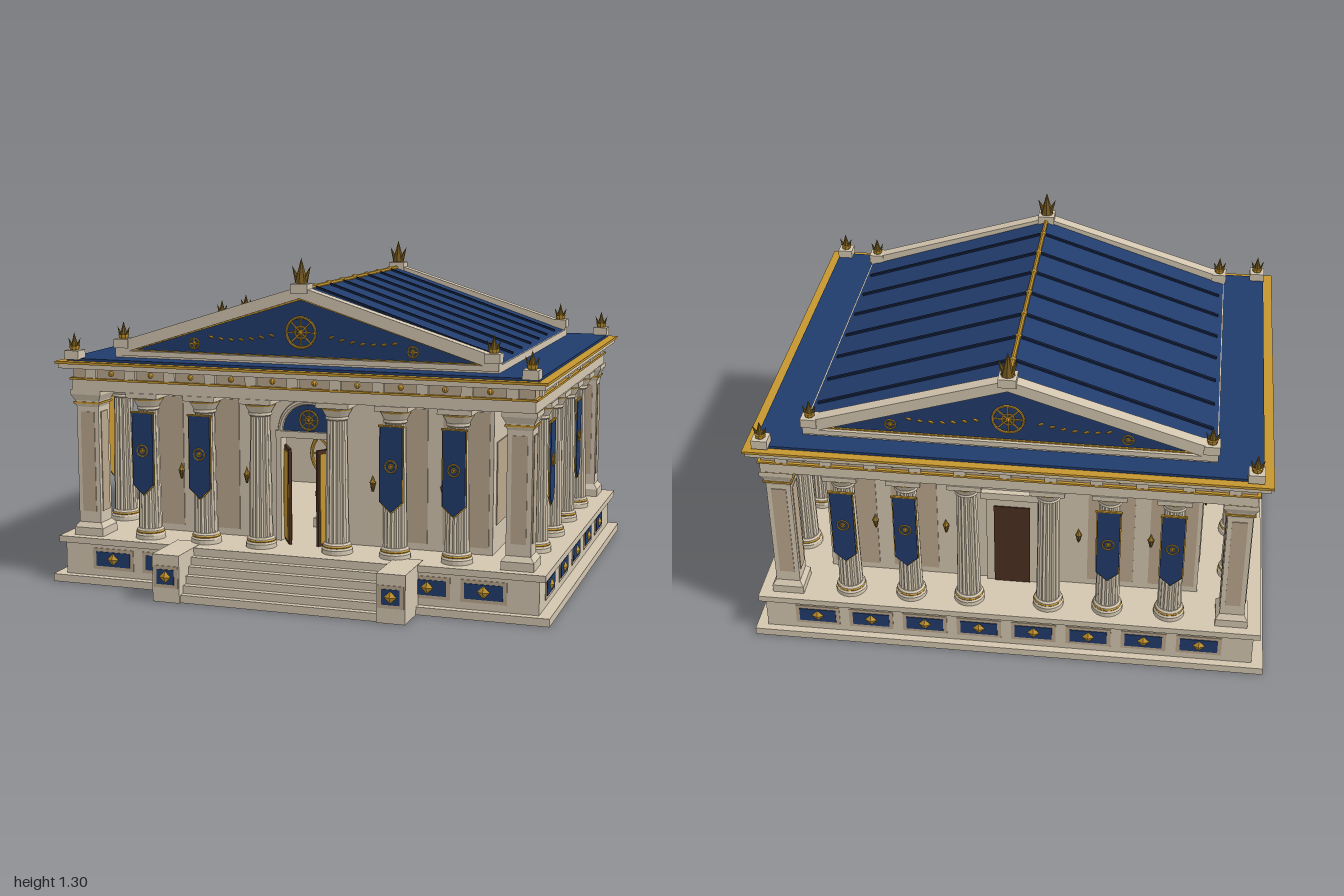
import * as THREE from 'three';

const mat = (color, flatShading = true) => new THREE.MeshStandardMaterial({ color, flatShading });
const STONE = mat(0xd3c6b0), SHADE = mat(0xbca88d), NAVY = mat(0x213c6c), RIB = mat(0x14213f);
const GOLD = mat(0xc6962f), BRONZE = mat(0x735820), BROWN = mat(0x4a2f20);
const DEPTH_SHIFT = -0.07;

function mesh(parent, name, geo, material, x = 0, y = 0, z = 0) {
  const m = new THREE.Mesh(geo, material);
  m.name = name;
  m.position.set(x, y, z);
  parent.add(m);
  return m;
}
const box = (p, name, m, w, h, d, x, y, z) => mesh(p, name, new THREE.BoxGeometry(w, h, d), m, x, y, z);
// Box given by its half sizes and bottom/top heights
const slab = (p, name, m, hx, hz, y0, y1) => box(p, name, m, hx * 2, y1 - y0, hz * 2, 0, (y0 + y1) / 2, 0);
function group(parent, name, x = 0, y = 0, z = 0) {
  const g = new THREE.Group();
  g.name = name;
  g.position.set(x, y, z);
  parent.add(g);
  return g;
}
const polygon = (pts) => new THREE.Shape(pts.map(([x, y]) => new THREE.Vector2(x, y)));
const extrude = (shape, depth) =>
  new THREE.ExtrudeGeometry(shape, { depth, bevelEnabled: false, curveSegments: 20 }).translate(0, 0, -depth / 2);
const triangle = (w, y0, y1) => polygon([[-w, y0], [w, y0], [0, y1]]);
const lathe = (pts, n = 20) => new THREE.LatheGeometry(pts.map(([r, y]) => new THREE.Vector2(r, y)), n);

// Fluted column shaft: every second edge is pulled inwards
function flutedShaft() {
  const geo = new THREE.CylinderGeometry(0.039, 0.047, 0.49, 32, 1, true);
  const p = geo.attributes.position;
  for (let i = 0; i < p.count; i++) {
    const k = Math.round((Math.atan2(p.getX(i), p.getZ(i)) / (Math.PI * 2)) * 32);
    if (k % 2) { p.setX(i, p.getX(i) * 0.87); p.setZ(i, p.getZ(i) * 0.87); }
  }
  geo.computeVertexNormals();
  return geo;
}
const SHAFT = flutedShaft();
const COLUMN_BASE = lathe([[0, 0.18], [0.06, 0.18], [0.06, 0.2], [0.055, 0.207], [0.054, 0.218], [0.047, 0.225], [0, 0.225]]);
const CAPITAL = lathe([[0.04, 0.695], [0.046, 0.7], [0.044, 0.71], [0.062, 0.742], [0, 0.742]]);

function column(parent, x, z) {
  const g = group(parent, 'column', x, 0, z);
  mesh(g, 'columnBase', COLUMN_BASE, STONE);
  mesh(g, 'baseRing', new THREE.TorusGeometry(0.052, 0.005, 6, 20).rotateX(Math.PI / 2), GOLD, 0, 0.211, 0);
  mesh(g, 'shaft', SHAFT, STONE, 0, 0.465, 0);
  mesh(g, 'capital', CAPITAL, STONE);
  mesh(g, 'capitalRing', new THREE.TorusGeometry(0.056, 0.005, 6, 20).rotateX(Math.PI / 2), GOLD, 0, 0.74, 0);
  box(g, 'abacus', STONE, 0.13, 0.02, 0.13, 0, 0.755, 0);
}

function pier(parent, x, z) {
  const g = group(parent, 'cornerPier', x, 0, z);
  const square = (pts) => lathe(pts.map(([r, y]) => [r * Math.SQRT2, y]), 4).rotateY(Math.PI / 4);
  mesh(g, 'pierBody', square([[0.062, 0.18], [0.062, 0.215], [0.047, 0.235], [0.047, 0.7], [0.052, 0.71],
    [0.052, 0.725], [0.065, 0.75], [0.065, 0.768]]), STONE);
  for (let i = 0; i < 4; i++) {
    const panel = group(g, 'pierFace');
    panel.rotation.y = (i * Math.PI) / 2;
    box(panel, 'pierPanel', SHADE, 0.058, 0.4, 0.006, 0, 0.48, 0.047);
  }
  box(g, 'pierBand', GOLD, 0.112, 0.008, 0.112, 0, 0.716, 0);
}

// Spoked ring facing +z
function wheel(parent, name, r, t, spokes, x, y, z) {
  const g = group(parent, name, x, y, z);
  mesh(g, 'rim', new THREE.TorusGeometry(r, t, 6, 28), GOLD);
  mesh(g, 'innerRing', new THREE.TorusGeometry(r * 0.4, t * 0.8, 6, 20), GOLD);
  mesh(g, 'hub', new THREE.SphereGeometry(t * 2, 8, 6), GOLD);
  for (let i = 0; i < spokes / 2; i++)
    box(g, 'spoke', GOLD, r * 2, t, t, 0, 0, 0).rotation.z = (i * 2 * Math.PI) / spokes;
  return g;
}

// Block with a three-pointed flame
function finial(parent, x, y, z, s, w = 0.03) {
  const g = group(parent, 'finial', x, y, z);
  box(g, 'finialBlock', STONE, w * 2, 0.035, w * 2, 0, 0.0175, 0);
  mesh(g, 'finialCup', new THREE.CylinderGeometry(0.022, 0.016, 0.02, 8), GOLD, 0, 0.042, 0);
  mesh(g, 'flame', new THREE.ConeGeometry(0.02 * s, 0.07 * s, 8), BRONZE, 0, 0.037 + 0.035 * s, 0);
  for (const k of [-1, 1])
    mesh(g, 'sideFlame', new THREE.ConeGeometry(0.01 * s, 0.05 * s, 6), BRONZE, k * 0.018 * s, 0.037 + 0.025 * s, 0).rotation.z = -k * 0.4;
}

const BANNER = extrude(polygon([[-0.043, 0.69], [-0.043, 0.405], [0, 0.365], [0.043, 0.405], [0.043, 0.69]]), 0.008);
const BANNER_TRIM = extrude(polygon([[-0.047, 0.694], [-0.047, 0.403], [0, 0.359], [0.047, 0.403], [0.047, 0.694]]), 0.004);
function banner(parent, u, d) {
  const g = group(parent, 'banner', u, 0, d);
  mesh(g, 'cloth', BANNER, NAVY);
  mesh(g, 'clothTrim', BANNER_TRIM, GOLD, 0, 0, -0.003);
  mesh(g, 'rod', new THREE.CylinderGeometry(0.005, 0.005, 0.1, 8).rotateZ(Math.PI / 2), GOLD, 0, 0.69, 0);
  wheel(g, 'bannerRings', 0.022, 0.003, 0, 0, 0.54, 0.006);
}

function sconce(parent, u, d) {
  const g = group(parent, 'sconce', u, 0.42, d);
  mesh(g, 'torch', new THREE.CylinderGeometry(0.013, 0.004, 0.035, 8), BRONZE, 0, 0, 0.015);
  mesh(g, 'torchFlame', new THREE.ConeGeometry(0.011, 0.03, 8), GOLD, 0, 0.032, 0.015);
}

function plinthPanel(parent, u, d, w = 0.145) {
  box(parent, 'panelFrame', SHADE, w + 0.03, 0.085, 0.006, u, 0.1, d);
  box(parent, 'panel', NAVY, w, 0.058, 0.012, u, 0.1, d);
  mesh(parent, 'panelDiamond', new THREE.OctahedronGeometry(0.024).scale(1, 1, 0.5), GOLD, u, 0.1, d + 0.006);
}

function gable(parent, dir) {
  const g = group(parent, 'gable');
  g.rotation.y = dir > 0 ? 0 : Math.PI;
  const rake = polygon([[-0.77, 0.9], [0.77, 0.9], [0.77, 0.95], [0, 1.19], [-0.77, 0.95]]);
  rake.holes.push(triangle(0.71, 0.92, 1.145));
  mesh(g, 'rakingCornice', extrude(rake, 0.05), STONE, 0, 0, 0.64);
  const trim = triangle(0.72, 0.917, 1.15);
  trim.holes.push(triangle(0.685, 0.924, 1.138));
  mesh(g, 'gableTrim', extrude(trim, 0.03), GOLD, 0, 0, 0.637);
  mesh(g, 'tympanum', extrude(triangle(0.72, 0.917, 1.15), 0.02), NAVY, 0, 0, 0.635);
  wheel(g, 'gableWheel', 0.058, 0.005, 8, 0, 1.015, 0.65);
  for (const k of [-1, 1]) {
    wheel(g, 'gableRosette', 0.02, 0.003, 4, k * 0.44, 0.957, 0.648);
    for (let i = 0; i < 7; i++) {
      const t = i / 6;
      mesh(g, 'garlandLeaf', new THREE.SphereGeometry(0.012, 8, 6).scale(1, 0.4, 0.5), GOLD,
        k * (0.12 + 0.25 * t), 1.0 - 0.022 * Math.sin(t * 2.4), 0.647).rotation.z = k * 0.35;
    }
    finial(g, k * 0.745, 0.93, 0.64, 0.95);
  }
  finial(g, 0, 1.165, 0.64, 1.35, 0.034);
}

export function createModel() {
  const model = new THREE.Group();
  model.name = 'temple';
  const t = group(model, 'building', 0, 0, DEPTH_SHIFT);

  // Podium
  slab(t, 'footing', STONE, 1, 0.795, 0, 0.03);
  slab(t, 'podium', STONE, 0.955, 0.765, 0.03, 0.158);
  slab(t, 'podiumCap', STONE, 0.98, 0.778, 0.158, 0.183);

  // Front steps between cheek blocks
  for (let i = 0; i < 6; i++) {
    const front = 0.925 - i * 0.026;
    box(t, 'step', STONE, 0.78, 0.0305, front - 0.7, 0, 0.0305 * (i + 0.5), (front + 0.7) / 2);
  }
  for (const k of [-1, 1]) {
    box(t, 'cheekBlock', STONE, 0.11, 0.185, 0.235, k * 0.445, 0.0925, 0.8175);
    plinthPanel(t, k * 0.445, 0.935, 0.07);
  }

  // Entablature and flat roof edge
  slab(t, 'architrave', STONE, 0.925, 0.74, 0.765, 0.808);
  slab(t, 'architraveBand', GOLD, 0.932, 0.747, 0.808, 0.816);
  slab(t, 'frieze', SHADE, 0.92, 0.735, 0.816, 0.858);
  slab(t, 'cornice', STONE, 0.965, 0.775, 0.855, 0.873);
  slab(t, 'corniceBand', GOLD, 0.975, 0.783, 0.873, 0.883);
  slab(t, 'flatRoof', NAVY, 0.938, 0.75, 0.88, 0.893);

  // Pitched roof with ribs and ridge
  slab(t, 'roofCurb', STONE, 0.77, 0.66, 0.89, 0.92);
  mesh(t, 'pitchedRoof', extrude(triangle(0.765, 0.92, 1.175), 1.25), NAVY);
  const pitch = Math.atan2(0.255, 0.765);
  for (const k of [-1, 1]) for (let i = -3; i <= 3; i++)
    box(t, 'roofRib', RIB, 0.785, 0.014, 0.012, k * 0.375, 1.051, i * 0.166).rotation.z = -k * pitch;
  mesh(t, 'ridge', new THREE.CylinderGeometry(0.009, 0.009, 1.25, 8).rotateX(Math.PI / 2), GOLD, 0, 1.177, 0);
  for (let i = -3; i <= 3; i++) mesh(t, 'ridgeBead', new THREE.SphereGeometry(0.013, 8, 6), GOLD, 0, 1.177, i * 0.166);
  gable(t, 1);
  gable(t, -1);

  // Corner piers and corner finials
  for (const x of [-1, 1]) for (const z of [-1, 1]) {
    pier(t, x * 0.866, z * 0.68);
    finial(t, x * 0.909, 0.89, z * 0.74, 0.95);
  }

  // Hollow hall with a doorway in the front wall
  const wall = polygon([[-0.73, 0.18], [-0.11, 0.18], [-0.11, 0.6], [0.11, 0.6], [0.11, 0.18], [0.73, 0.18], [0.73, 0.77], [-0.73, 0.77]]);
  mesh(t, 'frontWall', extrude(wall, 0.04), STONE, 0, 0, 0.53);
  box(t, 'backWall', STONE, 1.46, 0.59, 0.04, 0, 0.475, -0.53);
  for (const k of [-1, 1]) box(t, 'sideWall', STONE, 0.04, 0.59, 1.04, k * 0.71, 0.475, 0);

  // Colonnade, wall panels, banners and trim on all four sides
  const wide = [-0.625, -0.385, -0.155, 0.155, 0.385, 0.625], narrow = [-0.41, -0.137, 0.137, 0.41];
  ['front', 'left', 'back', 'right'].forEach((name, i) => {
    const s = group(t, name + 'Side');
    s.rotation.y = (i * Math.PI) / 2;
    const long = i % 2 === 0, sign = i === 1 ? -1 : 1;
    const rowD = long ? 0.68 : 0.866, wallD = long ? 0.55 : 0.73;
    for (const u of long ? wide : narrow) {
      column(s, u, rowD);
      if (!long || Math.abs(u) > 0.2)
        box(s, 'wallPanel', SHADE, 0.18, long ? 0.52 : 0.32, 0.008, u, long ? 0.47 : 0.45, wallD);
    }
    for (const u of long ? [-0.625, -0.385, 0.385, 0.625] : [0.41 * sign, -0.137 * sign]) banner(s, u, rowD + 0.057);
    for (const u of long ? [-0.54, -0.26, 0.26, 0.54] : [-0.27, 0, 0.27]) sconce(s, u, wallD);
    const n = long ? 8 : 5, gap = long ? 0.214 : 0.267;
    for (let j = 0; j < n; j++) {
      const u = (j - (n - 1) / 2) * gap - (long ? 0 : 0.035 * (i === 1 ? 1 : -1));
      if (i !== 0 || Math.abs(u) > 0.5) plinthPanel(s, u, long ? 0.765 : 0.955);
    }
    const blocks = long ? 11 : 6, pace = long ? 0.168 : 0.256;
    for (let j = 0; j < blocks; j++) {
      const u = (j - (blocks - 1) / 2) * pace;
      box(s, 'friezeBlock', STONE, 0.045, 0.04, 0.02, u, 0.837, long ? 0.737 : 0.922);
      if (j < blocks - 1 && long) mesh(s, 'friezeStud', new THREE.SphereGeometry(0.011, 8, 6), GOLD, u + pace / 2, 0.836, 0.735);
    }
  });

  // Front doorway: frame, arch, lunette and open leaves
  const half = new THREE.Shape().absarc(0, 0, 0.11, 0, Math.PI);
  mesh(t, 'lunette', extrude(half, 0.02), NAVY, 0, 0.62, 0.552);
  mesh(t, 'arch', new THREE.TorusGeometry(0.117, 0.012, 8, 24, Math.PI), STONE, 0, 0.62, 0.56);
  wheel(t, 'lunetteWheel', 0.037, 0.004, 8, 0, 0.665, 0.566);
  box(t, 'lintel', STONE, 0.27, 0.026, 0.05, 0, 0.607, 0.55);
  for (const k of [-1, 1]) {
    box(t, 'doorJamb', STONE, 0.022, 0.42, 0.05, k * 0.122, 0.39, 0.55);
    const leaf = group(t, 'doorLeaf', k * 0.11, 0.37, 0.53);
    leaf.rotation.y = k * 1.05;
    box(leaf, 'leafCore', BROWN, 0.11, 0.38, 0.012, -k * 0.055, 0, 0);
    box(leaf, 'leafPlate', GOLD, 0.09, 0.35, 0.018, -k * 0.055, 0, 0);
  }

  // Altar with the large wheel inside
  [[0.07, 0.18, 0.22], [0.055, 0.22, 0.31], [0.065, 0.31, 0.33]].forEach(([r, a, b]) =>
    box(t, 'altar', STONE, r * 2, b - a, r * 2, 0, (a + b) / 2, 0.25));
  box(t, 'wheelPost', GOLD, 0.02, 0.06, 0.02, 0, 0.36, 0.25);
  wheel(t, 'altarWheel', 0.1, 0.008, 8, 0, 0.475, 0.25);

  // Back door
  box(t, 'backDoorFrame', STONE, 0.2, 0.41, 0.03, 0, 0.385, -0.55);
  box(t, 'backDoor', BROWN, 0.14, 0.37, 0.04, 0, 0.365, -0.55);
  box(t, 'backLintel', STONE, 0.24, 0.03, 0.05, 0, 0.6, -0.55);
  return model;
}
